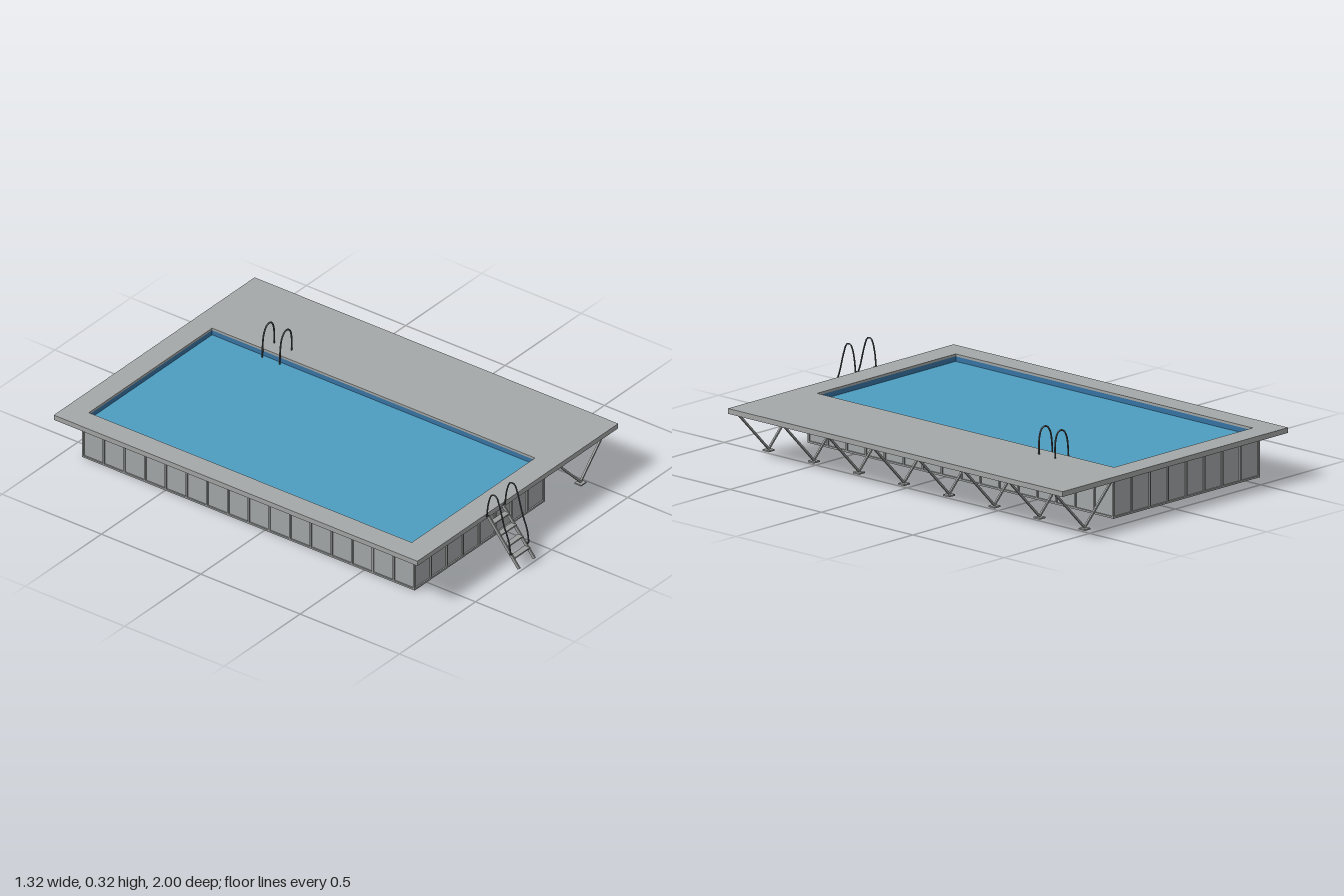
import * as THREE from 'three';

const mat = (name, color, side = THREE.FrontSide) => {
  const m = new THREE.MeshStandardMaterial({ color, side });
  m.name = name;
  return m;
};

export function createModel() {
  const model = new THREE.Group();
  model.name = 'raisedPool';
  const deckGrey = mat('deckGrey', 0xa5a8a8);
  const panelGrey = mat('panelGrey', 0xa6aaab);
  const steel = mat('steel', 0x9a9d9d);
  const rail = mat('darkRail', 0x55585a);
  const water = mat('water', 0x4d9dc0);
  const liner = mat('liner', 0x3875a6);

  const add = (name, geo, m, parent = model) => {
    const mesh = new THREE.Mesh(geo, m);
    mesh.name = name;
    parent.add(mesh);
    return mesh;
  };
  const group = (name) => {
    const g = new THREE.Group();
    g.name = name;
    model.add(g);
    return g;
  };
  // box given by its two extreme corners
  const box = (name, x0, x1, y0, y1, z0, z1, m, parent) => {
    const mesh = add(name, new THREE.BoxGeometry(x1 - x0, y1 - y0, z1 - z0), m, parent);
    mesh.position.set((x0 + x1) / 2, (y0 + y1) / 2, (z0 + z1) / 2);
    return mesh;
  };
  // square bar running from a to b
  const bar = (name, a, b, w, d, m, parent) => {
    const A = new THREE.Vector3(...a), B = new THREE.Vector3(...b);
    const mesh = add(name, new THREE.BoxGeometry(w, d, A.distanceTo(B)), m, parent);
    mesh.position.copy(A).lerp(B, 0.5);
    mesh.lookAt(B);
    return mesh;
  };
  const tube = (name, pts, r, m, parent) => {
    const curve = new THREE.CatmullRomCurve3(pts.map((p) => new THREE.Vector3(...p)));
    return add(name, new THREE.TubeGeometry(curve, 32, r, 8), m, parent);
  };
  // flat rectangular ring between y0 and y1; bounds are [x0, x1, z0, z1]
  const ring = (name, o, i, y0, y1, m) => {
    const path = (p, [x0, x1, z0, z1]) =>
      p.moveTo(x0, -z0).lineTo(x0, -z1).lineTo(x1, -z1).lineTo(x1, -z0).closePath();
    const shape = path(new THREE.Shape(), o);
    shape.holes.push(path(new THREE.Path(), i));
    const geo = new THREE.ExtrudeGeometry(shape, { depth: y1 - y0, bevelEnabled: false });
    geo.rotateX(-Math.PI / 2).translate(0, y0, 0);
    return add(name, geo, m);
  };

  const D = [-0.66, 0.66, -1, 0.83];          // deck outline
  const O = [-0.56, 0.25, -0.9, 0.725];       // pool opening
  const W = [-0.58, 0.275, -0.92, 0.755];     // outer wall frame
  const inset = (b, d) => [b[0] + d, b[1] - d, b[2] + d, b[3] - d];

  // Deck plate, fascia and liner band around the water
  ring('deck', D, O, 0.195, 0.205, deckGrey);
  ring('deckFascia', D, inset(D, 0.01), 0.183, 0.195, deckGrey);
  ring('linerBand', inset(W, 0.01), O, 0.172, 0.195, liner);

  // Basin: panels on the sides, water on top, liner below
  const P = inset(W, 0.006);
  box('basin', P[0], P[1], 0.002, 0.174, P[2], P[3],
    [panelGrey, panelGrey, water, liner, panelGrey, panelGrey]);

  // Wall frame: base and top rails with upright ribs
  const frame = group('wallFrame');
  for (const [y0, y1] of [[0, 0.008], [0.175, 0.183]]) {
    const r = ring('wallRail', W, inset(W, 0.008), y0, y1, steel);
    frame.add(r);
  }
  const nx = 8, nz = 16;
  for (let i = 0; i <= nx; i++) {
    const x = W[0] + 0.004 + (W[1] - W[0] - 0.008) * i / nx;
    box('endRib', x - 0.004, x + 0.004, 0, 0.183, W[2], W[2] + 0.008, steel, frame);
    box('endRib', x - 0.004, x + 0.004, 0, 0.183, W[3] - 0.008, W[3], steel, frame);
  }
  for (let i = 1; i < nz; i++) {
    const z = W[2] + 0.004 + (W[3] - W[2] - 0.008) * i / nz;
    box('sideRib', W[0], W[0] + 0.008, 0, 0.183, z - 0.004, z + 0.004, steel, frame);
    box('sideRib', W[1] - 0.008, W[1], 0, 0.183, z - 0.004, z + 0.004, steel, frame);
  }

  // V-shaped supports under the wide side of the deck
  const supports = group('deckSupports');
  const supportZ = Array.from({ length: 8 }, (_, i) => 0.785 - i * 0.247);
  for (const z of supportZ) {
    bar('supportArm', [0.47, 0.008, z], [0.295, 0.187, z], 0.008, 0.008, steel, supports);
    bar('supportArm', [0.47, 0.008, z], [0.648, 0.187, z], 0.008, 0.008, steel, supports);
    box('supportFoot', 0.453, 0.487, 0, 0.006, z - 0.017, z + 0.017, steel, supports);
    box('crossBeam', 0.275, 0.65, 0.181, 0.195, z - 0.006, z + 0.006, steel, supports);
  }

  // Joists and long beams below the deck
  const joists = group('deckJoists');
  for (let i = 0; i < 28; i++) {
    const z = -0.97 + i * 0.0655;
    box('joist', 0.275, 0.65, 0.185, 0.196, z - 0.006, z + 0.006, steel, joists);
  }
  for (const x of [0.3, 0.47, 0.635])
    box('longBeam', x - 0.006, x + 0.006, 0.183, 0.195, -0.99, 0.82, steel, joists);

  // Angled brackets on the three narrow sides
  const brackets = group('deckBrackets');
  for (const z of supportZ.slice(1, 7)) {
    bar('sideBracket', [-0.58, 0.155, z], [-0.622, 0.187, z], 0.007, 0.007, steel, brackets);
    box('bracketTop', -0.65, -0.58, 0.183, 0.195, z - 0.004, z + 0.004, steel, brackets);
  }
  for (let i = 0; i < 5; i++) {
    const x = -0.552 + i * 0.1985;
    for (const [z, s] of [[W[3], 1], [W[2], -1]]) {
      bar('endBracket', [x, 0.155, z], [x, 0.187, z + s * 0.04], 0.007, 0.007, steel, brackets);
      const m = z + s * 0.035;
      box('bracketTop', x - 0.004, x + 0.004, 0.183, 0.195, m - 0.035, m + 0.035, steel, brackets);
    }
  }

  // Outside ladder with treads and curved handrails
  const ladder = group('entryLadder');
  for (const s of [-1, 1]) {
    const x = -0.155 + s * 0.05;
    bar('stringer', [x, 0.008, 0.994], [x, 0.198, 0.836], 0.006, 0.014, steel, ladder);
    const h = -0.155 + s * 0.06;
    tube('ladderHandrail', [[h, 0.065, 0.958], [h, 0.12, 0.95], [h, 0.19, 0.925],
      [h, 0.27, 0.903], [h, 0.311, 0.885], [h, 0.311, 0.865], [h, 0.27, 0.848],
      [h, 0.2, 0.838]], 0.0032, rail, ladder);
    for (const [y, z] of [[0.066, 0.957], [0.2, 0.838]])
      box('handrailMount', Math.min(x, h), Math.max(x, h), y - 0.003, y + 0.003,
        z - 0.003, z + 0.003, rail, ladder);
  }
  for (let i = 0; i < 4; i++) {
    const y = 0.05 + i * 0.041, z = 0.96 - i * 0.034;
    box('tread', -0.205, -0.105, y - 0.003, y + 0.003, z - 0.013, z + 0.013, steel, ladder);
  }

  // Arched grab rails at the pool edge
  const grabs = group('grabRails');
  for (const z of [-0.635, -0.547])
    tube('grabRail', [[0.234, 0.176, z], [0.236, 0.23, z], [0.245, 0.283, z], [0.262, 0.309, z],
      [0.28, 0.315, z], [0.298, 0.306, z], [0.31, 0.275, z], [0.312, 0.2, z]], 0.0035, rail, grabs);

  return model;
}
